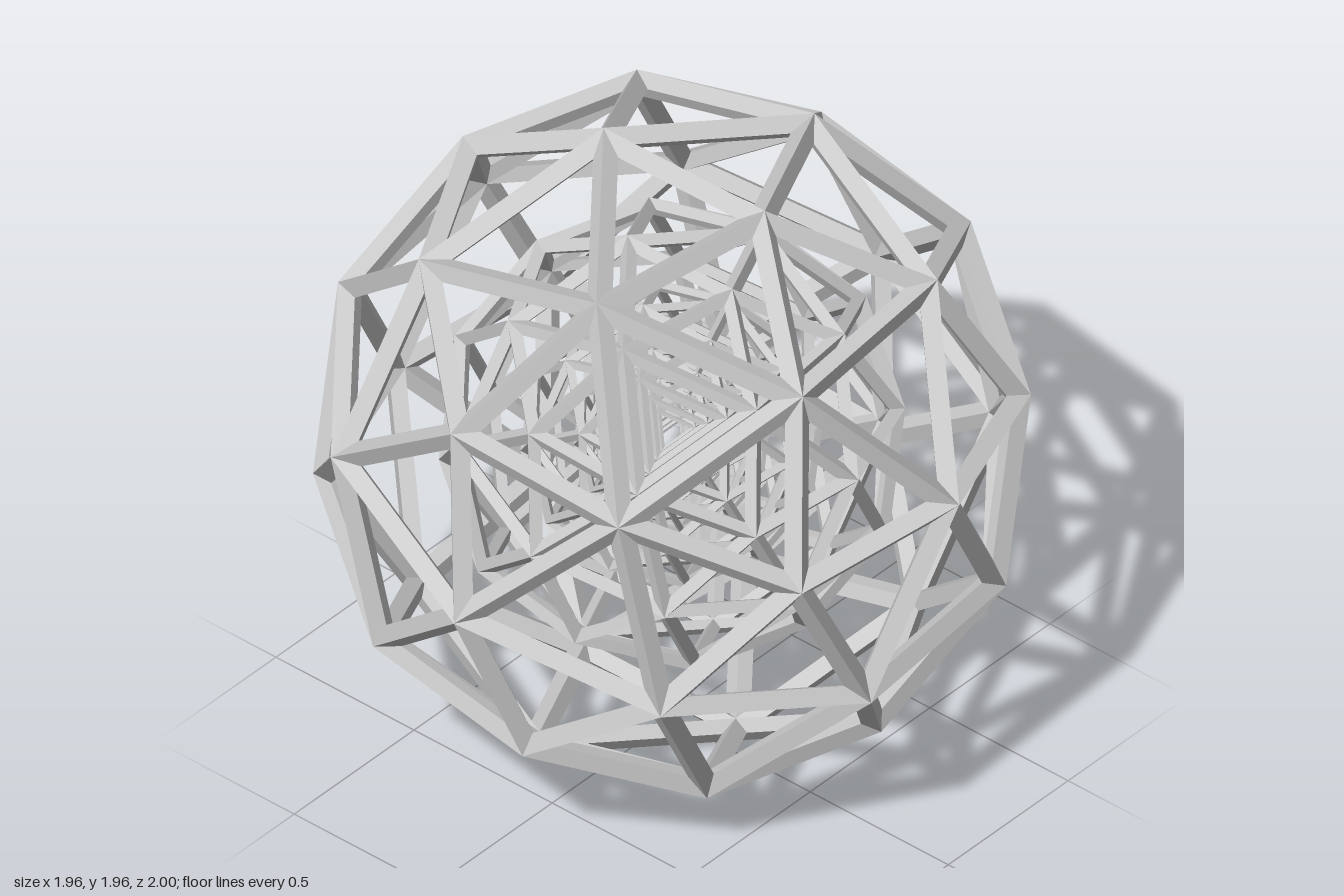
import * as THREE from 'three';

const RADIUS = 1.004;   // outer tip radius of the largest shell
const HALF = 0.036;     // half width and half depth of a strut
const RATIO = 0.65;     // size of each shell relative to the one around it
const SHELLS = 5;

// Geodesic lattice whose struts have a diamond section: ridge outside,
// ridge inside, and side edges shared with the triangular openings.
function latticeGeometry() {
  const source = new THREE.IcosahedronGeometry(1, 1).toNonIndexed
    ? new THREE.IcosahedronGeometry(1, 1).getAttribute('position')
    : null;
  const points = [];
  const quad = (a, b, c, d) => {
    for (const p of [a, b, c, a, c, d]) points.push(p.x, p.y, p.z);
  };

  for (let i = 0; i < source.count; i += 3) {
    const dirs = [0, 1, 2].map((k) => new THREE.Vector3().fromBufferAttribute(source, i + k).normalize());
    const at = (r) => dirs.map((d) => d.clone().multiplyScalar(r));
    const outer = at(RADIUS);
    const middle = at(RADIUS - HALF);
    const inner = at(RADIUS - 2 * HALF);

    // Incentre and inradius of the panel give an even inset on every side
    const sides = [0, 1, 2].map((k) => middle[(k + 1) % 3].distanceTo(middle[(k + 2) % 3]));
    const perimeter = sides[0] + sides[1] + sides[2];
    const centre = new THREE.Vector3();
    middle.forEach((p, k) => centre.addScaledVector(p, sides[k] / perimeter));
    const inradius = (2 * new THREE.Triangle(...middle).getArea()) / perimeter;
    const inset = middle.map((p) => p.clone().lerp(centre, HALF / inradius));

    // Each panel carries the half of the strut that faces its opening
    for (let k = 0; k < 3; k++) {
      const n = (k + 1) % 3;
      quad(outer[k], outer[n], inset[n], inset[k]);
      quad(inner[n], inner[k], inset[k], inset[n]);
    }
  }

  const geometry = new THREE.BufferGeometry();
  geometry.setAttribute('position', new THREE.Float32BufferAttribute(points, 3));
  geometry.computeVertexNormals();
  return geometry;
}

export function createModel() {
  const model = new THREE.Group();
  model.name = 'nestedGeodesicSpheres';

  const geometry = latticeGeometry();
  const material = new THREE.MeshStandardMaterial({ color: 0xcccccc, flatShading: true });

  // Shared tilt of all shells
  const zAxis = new THREE.Vector3(0.078, -0.035, 0.996).normalize();
  const xAxis = new THREE.Vector3(-0.204, 0.98, 0.05).cross(zAxis).normalize();
  const yAxis = zAxis.clone().cross(xAxis);
  const tilt = new THREE.Group();
  tilt.name = 'shells';
  tilt.quaternion.setFromRotationMatrix(new THREE.Matrix4().makeBasis(xAxis, yAxis, zAxis));
  tilt.position.y = RADIUS * yAxis.y;
  model.add(tilt);

  // Concentric shells, each a smaller copy of the last
  for (let i = 0; i < SHELLS; i++) {
    const shell = new THREE.Mesh(geometry, material);
    shell.name = i === 0 ? 'outerShell' : `innerShell${i}`;
    shell.scale.setScalar(RATIO ** i);
    tilt.add(shell);
  }
  return model;
}
